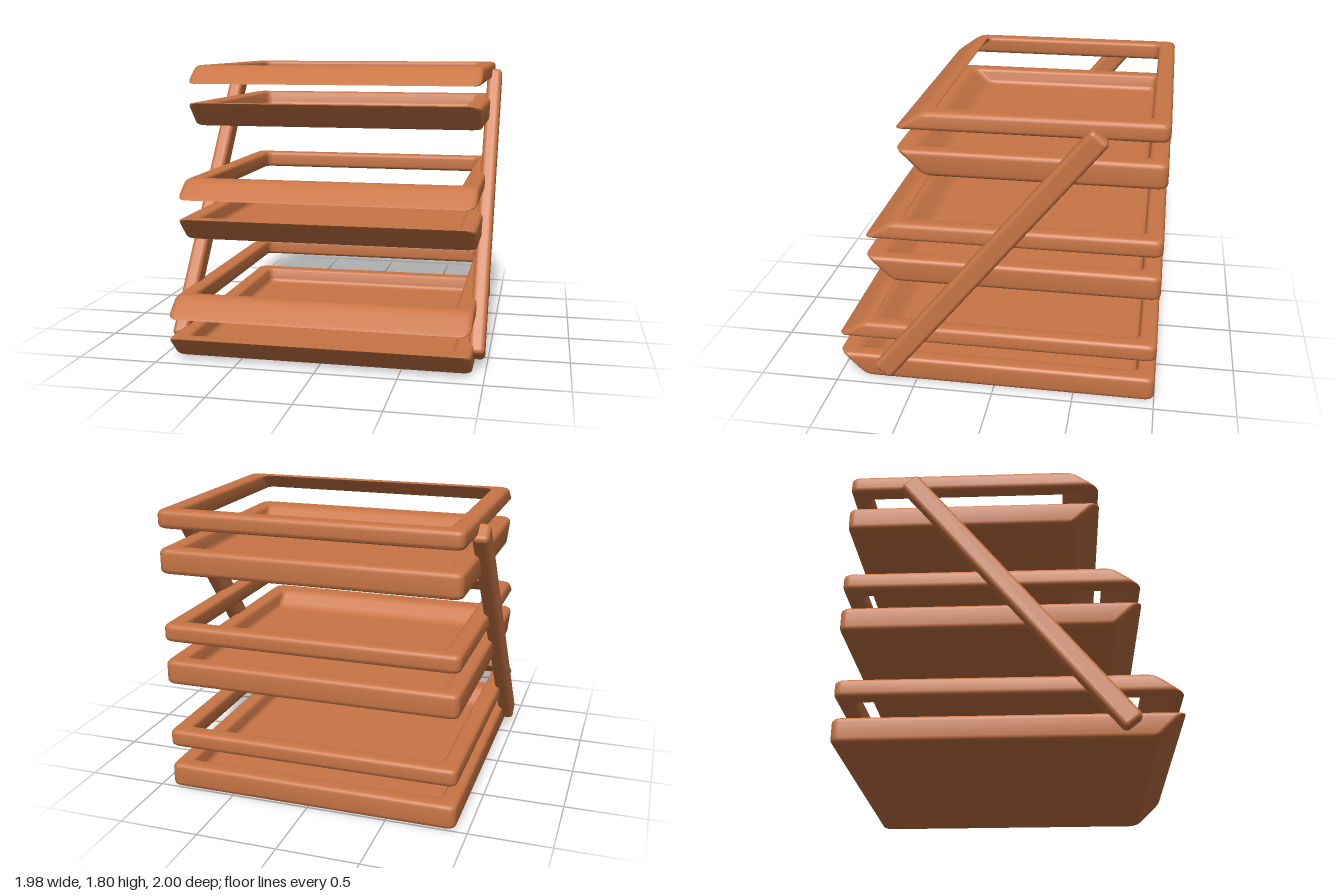
import * as THREE from 'three';
import { toCreasedNormals } from 'three/addons/utils/BufferGeometryUtils.js';
import { RoundedBoxGeometry } from 'three/addons/geometries/RoundedBoxGeometry.js';

const HALF_WIDTH = 0.925, BACK = -1, SLANT = 0.16;

// Rounds each corner [inset, y, radius] of a wall profile
function roundProfile(corners, closed) {
  const out = [], n = corners.length;
  corners.forEach(([s, y, r], i) => {
    if (!r || (!closed && (i === 0 || i === n - 1))) { out.push([s, y]); return; }
    const c = new THREE.Vector2(s, y);
    const toward = (q) => new THREE.Vector2(q[0], q[1]).sub(c).setLength(r).add(c);
    const a = toward(corners[(i + n - 1) % n]), b = toward(corners[(i + 1) % n]);
    const mid = c.clone().multiplyScalar(0.9).addScaledVector(a, 0.05).addScaledVector(b, 0.05);
    new THREE.QuadraticBezierCurve(a, mid, b).getPoints(5).forEach((p) => out.push([p.x, p.y]));
  });
  return out;
}

// Rounded rectangle at height y, counterclockwise from above
function ring(hw, back, front, y, r) {
  const pts = [], steps = 6;
  [[1, back], [-1, back], [-1, front], [1, front]].forEach(([sx, z], k) => {
    const cx = sx * (hw - r), cz = z === back ? back + r : front - r;
    for (let i = 0; i <= steps; i++) {
      const a = (k + i / steps) * Math.PI / 2;
      pts.push([cx + r * Math.cos(a), y, cz - r * Math.sin(a)]);
    }
  });
  return pts;
}

// Sweeps a wall profile round the tray outline; the front leans by a slant
function sweep(profile, frontAt, closed) {
  const rings = profile.map(([s, y]) => ring(HALF_WIDTH - s, BACK + s, frontAt(s, y), y, 0.045));
  const n = rings[0].length, m = rings.length, pos = rings.flat(2), index = [];
  for (let i = 0; i < (closed ? m : m - 1); i++) {
    for (let j = 0; j < n; j++) {
      const k = (j + 1) % n, a = i * n, b = ((i + 1) % m) * n;
      index.push(a + j, a + k, b + k, a + j, b + k, b + j);
    }
  }
  if (!closed) { // underside and floor
    pos.push(0, profile[0][1], 0, 0, profile[m - 1][1], 0);
    for (let j = 0; j < n; j++) {
      const k = (j + 1) % n, top = (m - 1) * n;
      index.push(m * n, k, j, m * n + 1, top + j, top + k);
    }
  }
  const g = new THREE.BufferGeometry();
  g.setAttribute('position', new THREE.Float32BufferAttribute(pos, 3));
  g.setIndex(index);
  return toCreasedNormals(g, 0.65);
}

// Open tray, its front leaning outward to a lip at the top
function trayGeometry(tip) {
  const h = 0.155;
  const profile = roundProfile([
    [0.05, 0, 0], [0, 0, 0.03], [0, h, 0.03], [0.11, h, 0.025], [0.12, 0.05, 0.03], [0.17, 0.05, 0],
  ], false);
  return sweep(profile, (s, y) => {
    const t = 1 - y / h;
    return tip - SLANT * t - (s > 0.055 ? s : s * t);
  }, false);
}

// Open rim frame, its front leaning back from a lip at the bottom
function frameGeometry(tip) {
  const h = 0.112;
  const profile = roundProfile([
    [0, 0, 0.03], [0, h, 0.03], [0.11, h, 0.025], [0.11, 0, 0.025],
  ], true);
  return sweep(profile, (s, y) => {
    const t = y / h;
    return tip - SLANT * t - (s > 0.055 ? s * 0.7 : s * t * 0.7);
  }, true);
}

export function createModel() {
  const model = new THREE.Group();
  model.name = 'tieredTray';
  const wood = new THREE.MeshStandardMaterial({ color: 0xc87545 });
  wood.name = 'warmWood';
  const add = (geometry, name, x, y, z) => {
    const mesh = new THREE.Mesh(geometry, wood);
    mesh.name = name;
    mesh.position.set(x, y, z);
    model.add(mesh);
    return mesh;
  };

  // Three tiers, each a tray with a rim frame above it
  [['bottom', 0.005, 1.0], ['middle', 0.707, 0.79], ['top', 1.413, 0.565]].forEach(([name, y, tip]) => {
    add(trayGeometry(tip), name + 'Tray', 0, y, 0);
    add(frameGeometry(tip), name + 'Frame', 0, y + 0.277, 0);
  });

  // Diagonal side braces
  const low = new THREE.Vector2(0.705, 0.08), high = new THREE.Vector2(-0.62, 1.725);
  const run = high.clone().sub(low), mid = low.clone().add(high).multiplyScalar(0.5);
  for (const [side, name] of [[1, 'leftBrace'], [-1, 'rightBrace']]) {
    const brace = add(new RoundedBoxGeometry(0.098, run.length() + 0.01, 0.135, 4, 0.03), name,
      side * 0.941, mid.y, mid.x);
    brace.rotation.x = Math.atan2(run.x, run.y);
  }
  return model;
}
